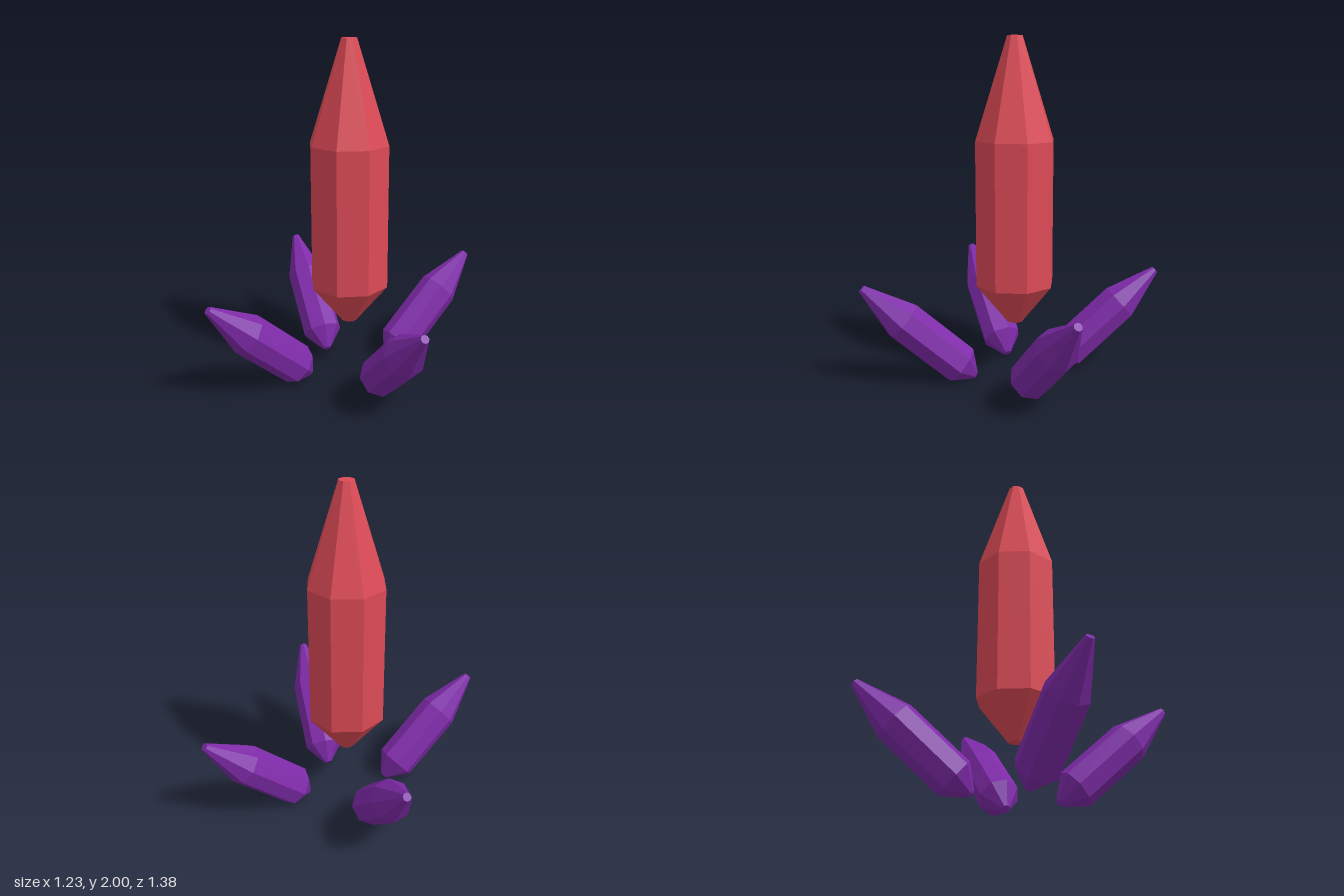
import * as THREE from 'three';

// Eight-sided crystal with a short lower point, a straight body and a long upper point.
// Its base sits at the local origin and it grows along +y.
function crystalGeometry(scale) {
  const profile = [[0, 0], [0.046, 0], [0.236, 0.235], [0.236, 1.085], [0.046, 1.675], [0, 1.675]]
    .map(([r, y]) => new THREE.Vector2(r * scale, y * scale));
  return new THREE.LatheGeometry(profile, 8);
}

export function createModel() {
  const group = new THREE.Group();
  const red = new THREE.MeshStandardMaterial({ color: 0xdc4a56, flatShading: true });
  const purple = new THREE.MeshStandardMaterial({ color: 0x7e2aa8, flatShading: true });

  // Tall upright crystal floating in the middle
  const centre = new THREE.Mesh(crystalGeometry(1), red);
  centre.name = 'centreCrystal';
  centre.position.y = 0.325;
  group.add(centre);

  // Four small crystals leaning outwards, one in each corner
  const small = crystalGeometry(0.513);
  for (const sx of [1, -1]) {
    for (const sz of [1, -1]) {
      const crystal = new THREE.Mesh(small, purple);
      crystal.name = (sz > 0 ? 'front' : 'back') + (sx > 0 ? 'Left' : 'Right') + 'Crystal';
      crystal.position.set(sx * 0.199, 0.017, sz * 0.163);
      crystal.rotation.set(sz * 0.63, 0, -sx * 0.61, 'ZYX');
      group.add(crystal);
    }
  }
  return group;
}
